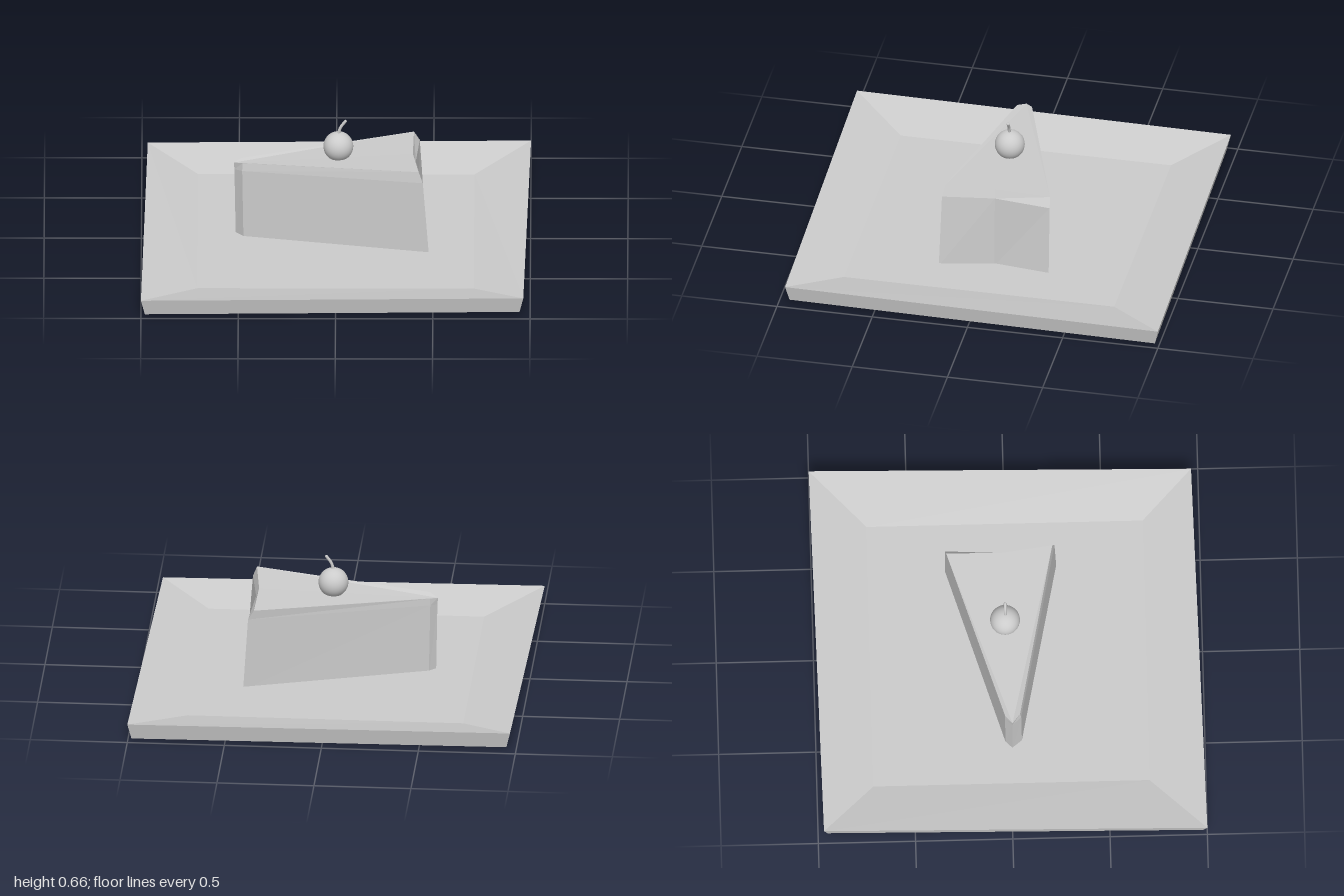
import * as THREE from 'three';

const material = new THREE.MeshStandardMaterial({ color: 0xcccccc });
const flatMaterial = new THREE.MeshStandardMaterial({ color: 0xcccccc, flatShading: true });

function add(group, name, geometry, mat) {
  const mesh = new THREE.Mesh(geometry, mat);
  mesh.name = name;
  group.add(mesh);
  return mesh;
}

// Joins rings of [x, y, z] corners (counter-clockwise from above, bottom first) and caps both ends.
function loft(rings) {
  const n = rings[0].length;
  const positions = [];
  const tri = (a, b, c) => positions.push(...a, ...b, ...c);
  for (let r = 0; r < rings.length - 1; r++) {
    for (let i = 0; i < n; i++) {
      const j = (i + 1) % n;
      const lower = rings[r], upper = rings[r + 1];
      tri(lower[i], lower[j], upper[j]);
      tri(lower[i], upper[j], upper[i]);
    }
  }
  const cap = (ring, up) => {
    const outline = ring.map(([x, , z]) => new THREE.Vector2(x, -z));
    for (const [a, b, c] of THREE.ShapeUtils.triangulateShape(outline, [])) {
      if (up) tri(ring[a], ring[b], ring[c]);
      else tri(ring[a], ring[c], ring[b]);
    }
  };
  cap(rings[0], false);
  cap(rings[rings.length - 1], true);
  const geometry = new THREE.BufferGeometry();
  geometry.setAttribute('position', new THREE.Float32BufferAttribute(positions, 3));
  geometry.computeVertexNormals();
  return geometry;
}

export function createModel() {
  const model = new THREE.Group();
  model.name = 'cakeOnPlate';

  // Plate: slightly skewed square with a sunken floor
  const corners = [[-1, 1], [0.965, 0.965], [1, -1], [-0.97, -0.97]];
  const square = (scale, y) => corners.map(([x, z]) => [x * scale, y, z * scale]);
  const floor = corners.map(([x, z]) => [Math.sign(x) * 0.71, 0.045, Math.sign(z) * 0.71]);
  add(model, 'plate', loft([square(0.98, 0.02), square(1, 0.105), floor]), flatMaterial);

  // Cake slice: wedge with a blunt tip, a notched wide end and a bevelled top edge
  const cakeBottom = [
    [-0.515, 0.006, 0.01], [-0.475, 0.005, 0.06], [0.478, 0.03, 0.26],
    [0.42, 0.03, -0.02], [0.455, 0.03, -0.312], [-0.48, 0.01, -0.025],
  ];
  const cakeShoulder = [
    [-0.522, 0.4, 0.01], [-0.482, 0.41, 0.056], [0.447, 0.43, 0.25],
    [0.41, 0.43, -0.02], [0.43, 0.42, -0.312], [-0.488, 0.41, -0.027],
  ];
  const cakeTop = [
    [-0.525, 0.437, 0.01], [-0.48, 0.451, 0.05], [0.425, 0.487, 0.238],
    [0.395, 0.475, -0.02], [0.4, 0.469, -0.308], [-0.485, 0.446, -0.027],
  ];
  add(model, 'cakeSlice', loft([cakeBottom, cakeShoulder, cakeTop]), flatMaterial);

  // Cherry with a bent stem
  const cherry = add(model, 'cherry', new THREE.SphereGeometry(0.077, 32, 20), material);
  cherry.position.set(0.012, 0.519, -0.015);

  const stemPath = new THREE.CatmullRomCurve3([
    new THREE.Vector3(0.01, 0.575, -0.013),
    new THREE.Vector3(0.022, 0.622, -0.013),
    new THREE.Vector3(0.048, 0.66, -0.013),
  ]);
  add(model, 'cherryStem', new THREE.TubeGeometry(stemPath, 8, 0.008, 8), material);
  const tip = add(model, 'stemTip', new THREE.SphereGeometry(0.008, 8, 6), material);
  tip.position.set(0.048, 0.66, -0.013);

  return model;
}
